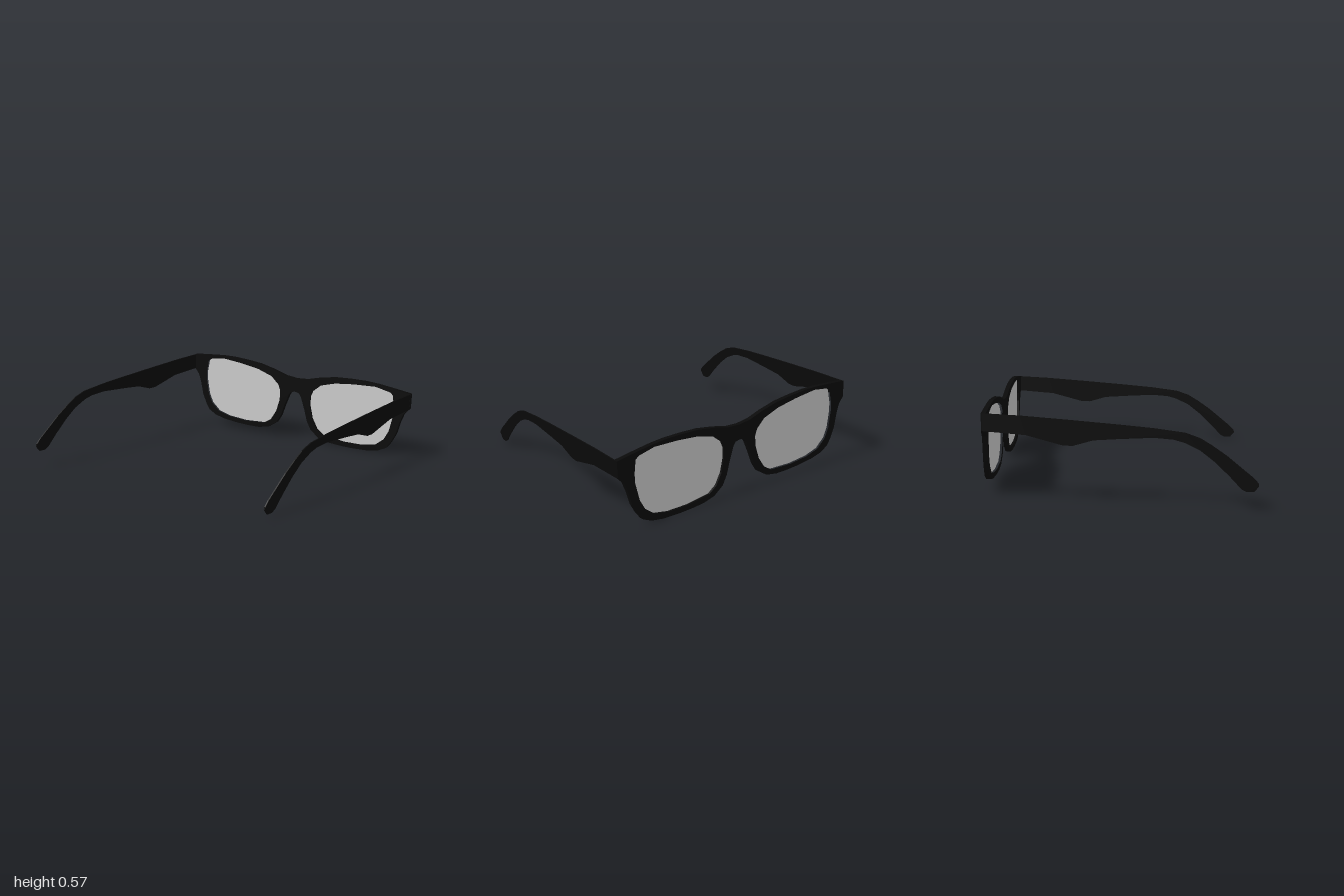
import * as THREE from 'three';

// Half of the frame outline, from bridge top, around the rim, to bridge underside
const RIM = [
  [0, 0.471], [0.09, 0.479], [0.19, 0.507], [0.32, 0.533], [0.45, 0.543], [0.57, 0.547],
  [0.67, 0.543], [0.8, 0.53], [0.925, 0.516], [0.925, 0.408], [0.885, 0.363], [0.862, 0.3],
  [0.838, 0.205], [0.805, 0.137], [0.772, 0.089], [0.71, 0.057], [0.62, 0.039], [0.5, 0.031],
  [0.4, 0.03], [0.308, 0.034], [0.22, 0.053], [0.15, 0.102], [0.114, 0.164], [0.088, 0.246],
  [0.053, 0.338], [0.035, 0.364], [0, 0.371],
];

// Lens opening
const LENS = [
  [0.794, 0.485], [0.77, 0.503], [0.655, 0.524], [0.484, 0.512], [0.333, 0.492], [0.21, 0.455],
  [0.147, 0.4], [0.129, 0.354], [0.131, 0.284], [0.156, 0.192], [0.2, 0.118], [0.26, 0.078],
  [0.43, 0.063], [0.58, 0.07], [0.682, 0.094], [0.75, 0.15], [0.784, 0.218], [0.808, 0.337],
  [0.808, 0.398],
];

// Side profile of a temple as [z, y]
const TEMPLE = [
  [-0.84, 0.405], [-0.567, 0.385], [-0.337, 0.325], [-0.277, 0.325], [-0.154, 0.361], [0, 0.372],
  [0.213, 0.384], [0.33, 0.375], [0.397, 0.357], [0.49, 0.312], [0.58, 0.242], [0.67, 0.155],
  [0.74, 0.08], [0.77, 0.064], [0.815, 0.065], [0.845, 0.1], [0.842, 0.118], [0.81, 0.152],
  [0.65, 0.283], [0.56, 0.345], [0.49, 0.387], [0.4, 0.418], [0.21, 0.442], [0, 0.46],
  [-0.3, 0.483], [-0.6, 0.504], [-0.84, 0.515],
];

const FRONT_Z = -0.836;

const toPoints = (list, side = 1) => list.map(([x, y]) => new THREE.Vector2(x * side, y));

export function createModel() {
  const model = new THREE.Group();
  model.name = 'eyeglasses';
  const black = new THREE.MeshStandardMaterial({ color: 0x0a0a0a });
  const lensMaterial = new THREE.MeshStandardMaterial({ color: 0xcccccc, side: THREE.DoubleSide });

  // Front: one plate with two lens openings, leaning very slightly
  const front = new THREE.Group();
  front.name = 'front';
  const outline = [...toPoints(RIM), ...toPoints(RIM.slice(1, -1), -1).reverse()];
  const plate = new THREE.Shape(outline);
  for (const side of [1, -1]) plate.holes.push(new THREE.Path(toPoints(LENS, side)));
  const frameGeometry = new THREE.ExtrudeGeometry(plate, { depth: 0.03, bevelEnabled: false });
  frameGeometry.translate(0, 0, -0.015);
  const frame = new THREE.Mesh(frameGeometry, black);
  frame.name = 'frame';
  front.add(frame);

  // Lenses
  for (const side of [1, -1]) {
    const lens = new THREE.Mesh(
      new THREE.ShapeGeometry(new THREE.Shape(toPoints(LENS, side))), lensMaterial);
    lens.name = side > 0 ? 'leftLens' : 'rightLens';
    front.add(lens);
  }
  front.position.z = FRONT_Z - 0.005;
  front.rotation.set(0.018, 0.006, 0);
  model.add(front);

  // Temples: thin plates, both swung the same way as they run back
  for (const side of [1, -1]) {
    const thickness = 0.008;
    const geometry = new THREE.ExtrudeGeometry(
      new THREE.Shape(toPoints(TEMPLE)), { depth: thickness, bevelEnabled: false });
    geometry.translate(0, 0, -thickness / 2);
    geometry.rotateY(-Math.PI / 2);
    const p = geometry.attributes.position;
    for (let i = 0; i < p.count; i++) {
      p.setX(i, p.getX(i) + side * 0.921 - 0.075 * (p.getZ(i) - FRONT_Z));
    }
    geometry.computeVertexNormals();
    const temple = new THREE.Mesh(geometry, black);
    temple.name = side > 0 ? 'leftTemple' : 'rightTemple';
    model.add(temple);
  }

  // The glasses rest tilted to one side
  model.rotation.z = -0.054;
  model.position.x = 0.05;
  const root = new THREE.Group();
  root.name = 'glasses';
  root.add(model);
  return root;
}
